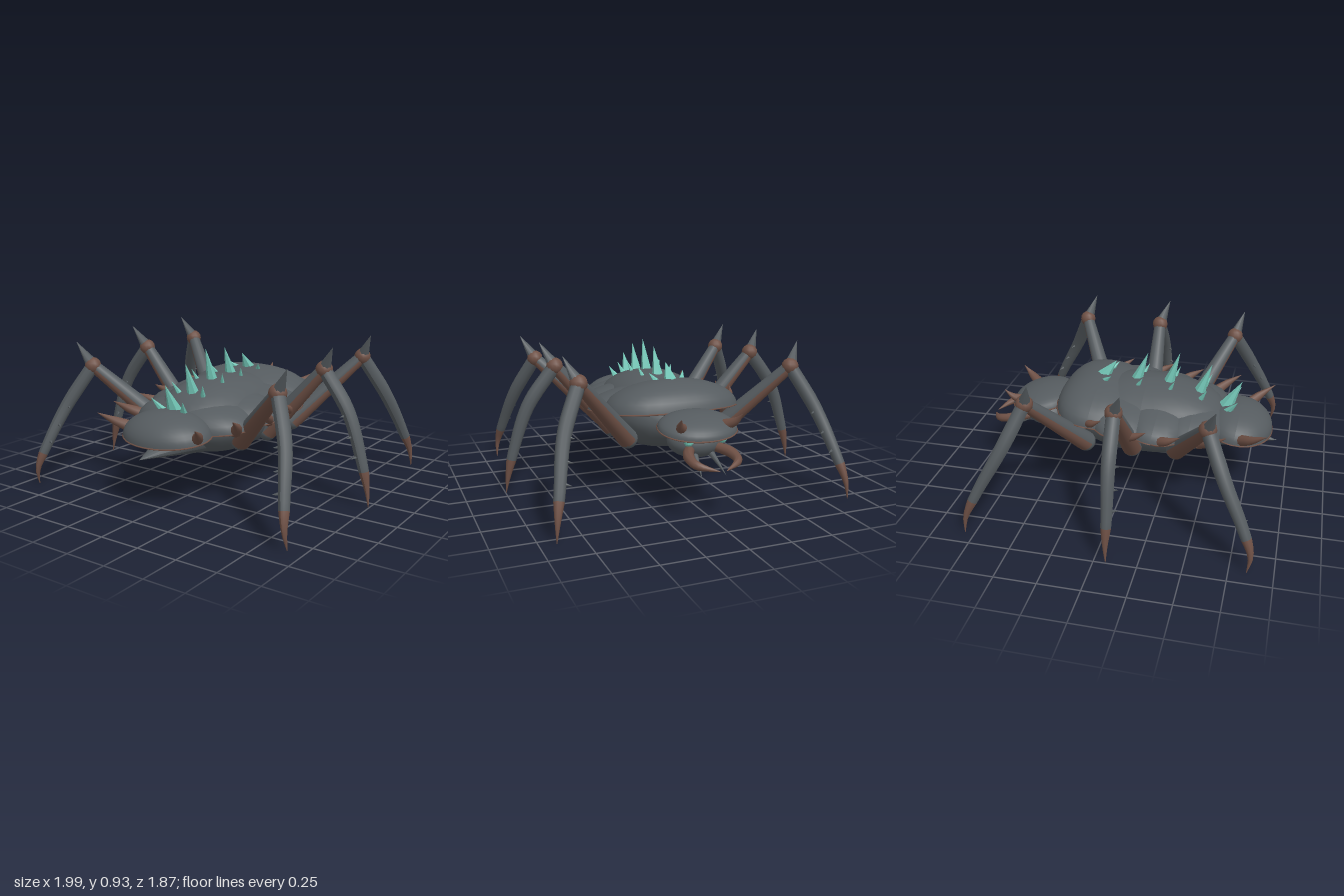
import * as THREE from 'three';

const mat = (name, color) => {
  const m = new THREE.MeshStandardMaterial({ color });
  m.name = name;
  return m;
};
const V = (x, y, z) => new THREE.Vector3(x, y, z);

export function createModel() {
  const model = new THREE.Group();
  const chitin = mat('greyChitin', 0x555b5f);
  const brown = mat('brownHorn', 0x6e5045);
  const teal = mat('tealCrystal', 0x74c8b8);
  teal.flatShading = true;

  const add = (name, geo, material, parent = model) => {
    const m = new THREE.Mesh(geo, material);
    m.name = name;
    parent.add(m);
    return m;
  };

  // Ellipsoid whose plan outline can be squared off with exponent n
  function blob(rx, ry, rz, n = 2, half = false) {
    const g = new THREE.SphereGeometry(1, 32, half ? 10 : 16, 0, Math.PI * 2, 0, half ? Math.PI / 2 : Math.PI);
    const p = g.attributes.position;
    for (let i = 0; i < p.count; i++) {
      const a = Math.atan2(p.getZ(i), p.getX(i));
      const k = Math.pow(Math.abs(Math.cos(a)) ** n + Math.abs(Math.sin(a)) ** n, -1 / n);
      p.setXYZ(i, p.getX(i) * k * rx, p.getY(i) * ry, p.getZ(i) * k * rz);
    }
    g.computeVertexNormals();
    return g;
  }

  // Tube along points with a radius per point
  function taper(points, radii, segs = 12, sides = 10) {
    const path = new THREE.CatmullRomCurve3(points);
    const g = new THREE.TubeGeometry(path, segs, 1, sides, false);
    const p = g.attributes.position, v = V(0, 0, 0);
    for (let i = 0; i < p.count; i++) {
      const t = Math.floor(i / (sides + 1)) / segs, c = path.getPointAt(t);
      const f = t * (radii.length - 1), k = Math.min(Math.floor(f), radii.length - 2);
      const r = radii[k] + (radii[k + 1] - radii[k]) * (f - k);
      v.fromBufferAttribute(p, i).sub(c).multiplyScalar(r).add(c);
      p.setXYZ(i, v.x, v.y, v.z);
    }
    g.computeVertexNormals();
    return g;
  }

  // Straight spike from base to tip
  function spike(name, base, tip, r, material, sides = 8, parent = model) {
    const d = tip.clone().sub(base), h = d.length();
    const g = new THREE.ConeGeometry(r, h, sides).translate(0, h / 2, 0);
    const m = add(name, g, material, parent);
    m.position.copy(base);
    m.quaternion.setFromUnitVectors(V(0, 1, 0), d.normalize());
    return m;
  }

  // Back plates with brown rims: z, y, rx, height, rz, tilt, squareness
  const plates = [
    ['headPlate', -0.585, 0.49, 0.235, 0.085, 0.2, -0.15, 2.1],
    ['backPlate1', -0.19, 0.525, 0.42, 0.175, 0.265, 0.1, 2.5],
    ['backPlate2', 0, 0.505, 0.475, 0.14, 0.23, 0.1, 2.5],
    ['backPlate3', 0.21, 0.485, 0.46, 0.145, 0.23, 0.1, 2.4],
    ['backPlate4', 0.41, 0.465, 0.39, 0.14, 0.23, 0.1, 2.3],
    ['tailPlate', 0.68, 0.437, 0.28, 0.135, 0.215, 0.12, 2],
  ];
  for (const [name, z, y, rx, h, rz, tilt, n] of plates) {
    const g = new THREE.Group();
    g.name = name;
    g.position.set(0, y, z);
    g.rotation.x = tilt;
    add('plateDome', blob(rx, h, rz, n, true), chitin, g);
    add('plateRim', blob(rx + 0.006, 0.018, rz + 0.006, n), brown, g).position.y = -0.005;
    model.add(g);
  }

  // Underbody
  add('belly', blob(0.33, 0.235, 0.51, 2.4), chitin).position.set(0, 0.46, 0.11);
  add('head', blob(0.17, 0.1, 0.15), chitin).position.set(0, 0.41, -0.56);
  const tail = spike('tailPoint', V(0, 0.385, 0.4), V(0, 0.345, 0.93), 0.125, chitin, 12);
  tail.scale.x = 1.6;

  // Crystal rows on the back: base z, base y, tip z, tip y
  const rows = [
    [-0.19, 0.67, -0.1, 0.79], [0.01, 0.62, 0.1, 0.86], [0.21, 0.6, 0.3, 0.88],
    [0.41, 0.58, 0.5, 0.82], [0.6, 0.55, 0.69, 0.725],
  ];
  for (const [z, y, tz, ty] of rows) {
    spike('backCrystal', V(0, y, z), V(0, ty, tz), 0.047, teal, 6);
    for (const s of [-1, 1])
      spike('sideCrystal', V(s * 0.07, y - 0.01, z + 0.01), V(s * 0.115, y + (ty - y) * 0.5, tz - 0.01), 0.029, teal, 6);
  }

  // Horns along the plate edges and on the head: base, tip, radius
  const horns = [
    [[0.37, 0.53, -0.2], [0.455, 0.6, -0.09], 0.032],
    [[0.43, 0.5, 0.05], [0.49, 0.575, 0.19], 0.035],
    [[0.41, 0.48, 0.24], [0.475, 0.56, 0.39], 0.036],
    [[0.34, 0.46, 0.48], [0.435, 0.565, 0.65], 0.038],
    [[0.22, 0.44, 0.7], [0.35, 0.555, 0.88], 0.04],
    [[0.13, 0.51, -0.67], [0.187, 0.6, -0.79], 0.036],
  ];

  // Legs: hip, knee, knee spike tip, shin path, shin thorn direction
  const legs = [
    ['frontLeg', [0.3, 0.36, -0.23], [0.67, 0.78, -0.475], [0.745, 0.93, -0.425],
      [[0.79, 0.53, -0.59], [0.86, 0.27, -0.73], [0.895, 0.11, -0.8], [0.905, 0.005, -0.81]], [-0.05, -0.01, -0.03]],
    ['middleLeg', [0.3, 0.36, 0.065], [0.67, 0.785, 0.045], [0.75, 0.93, 0.1],
      [[0.84, 0.55, 0.055], [0.94, 0.27, 0.065], [0.98, 0.11, 0.065], [0.995, 0.005, 0.07]], [-0.03, -0.01, 0.05]],
    ['rearLeg', [0.28, 0.36, 0.335], [0.67, 0.745, 0.57], [0.755, 0.895, 0.62],
      [[0.79, 0.5, 0.69], [0.86, 0.26, 0.81], [0.895, 0.11, 0.865], [0.905, 0.005, 0.85]], [-0.05, -0.01, 0.03]],
  ];

  for (const s of [-1, 1]) {
    const side = s > 0 ? 'left' : 'right';
    const P = (a) => V(s * a[0], a[1], a[2]);

    for (const [b, t, r] of horns) {
      const base = P(b), tip = P(t);
      const mid = base.clone().lerp(tip, 0.5).add(V(s * 0.014, -0.006, -0.008));
      add(side + 'Horn', taper([base, mid, tip], [r, r * 0.65, 0.001], 8), brown);
    }

    for (const [name, h, k, st, shin, th] of legs) {
      const leg = new THREE.Group();
      leg.name = side + name[0].toUpperCase() + name.slice(1);
      model.add(leg);
      const hip = P(h), knee = P(k);
      add('hip', new THREE.SphereGeometry(0.062, 16, 10), chitin, leg).position.copy(hip);

      // Thigh: grey upper half, brown lower half
      const y = knee.clone().sub(hip), len = y.length();
      y.normalize();
      const z = V(0, 1, 0).addScaledVector(y, -y.y).normalize();
      const basis = new THREE.Matrix4().makeBasis(V(0, 0, 0).crossVectors(y, z), y, z);
      basis.setPosition(hip.clone().lerp(knee, 0.5));
      [[chitin, -Math.PI / 2, 'thighTop'], [brown, Math.PI / 2, 'thighUnderside']].forEach(([m, start, n]) =>
        add(n, new THREE.CylinderGeometry(0.038, 0.062, len, 10, 1, true, start, Math.PI).applyMatrix4(basis), m, leg));

      add('knee', new THREE.SphereGeometry(0.052, 12, 8), brown, leg).position.copy(knee);
      spike('kneeSpike', knee, P(st), 0.042, chitin, 8, leg);

      // Shin with a brown claw end
      const pts = [knee, ...shin.map(P)];
      const g = taper(pts, [0.042, 0.043, 0.038, 0.031, 0.002], 20);
      g.clearGroups();
      g.addGroup(0, 15 * 60, 0);
      g.addGroup(15 * 60, 5 * 60, 1);
      add('shin', g, [chitin, brown], leg);
      const path = new THREE.CatmullRomCurve3(pts);
      for (const t of [0.35, 0.5, 0.64]) {
        const b = path.getPointAt(t);
        spike('shinThorn', b, b.clone().addScaledVector(P(th), 1.15), 0.018, chitin, 6, leg);
      }
    }

    // Mouthparts and eyes
    add(side + 'Mandible', taper(
      [[0.07, 0.39, -0.64], [0.13, 0.375, -0.76], [0.125, 0.355, -0.86], [0.02, 0.33, -0.935]].map(P),
      [0.03, 0.032, 0.024, 0.002], 16), brown);
    spike(side + 'Palp', P([0.05, 0.36, -0.66]), P([0.075, 0.26, -0.825]), 0.02, chitin);
    add(side + 'Eye', new THREE.SphereGeometry(0.028, 12, 8), teal).position.copy(P([0.105, 0.445, -0.7]));
    add(side + 'SmallEye', new THREE.SphereGeometry(0.012, 8, 6), teal).position.copy(P([0.045, 0.488, -0.755]));
  }
  return model;
}
